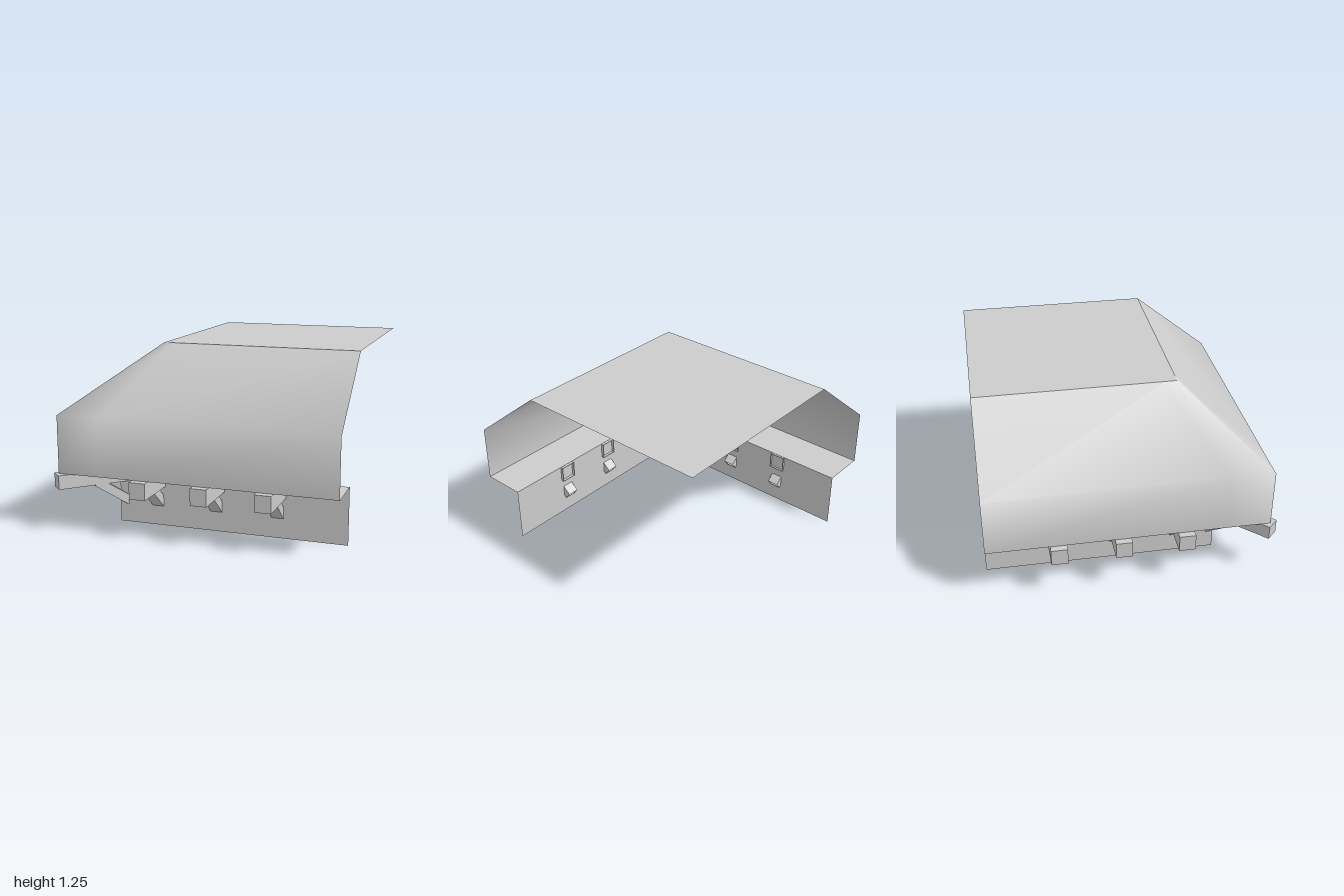
import * as THREE from 'three';

const grey = (flatShading) =>
  new THREE.MeshStandardMaterial({ color: 0xcccccc, side: THREE.DoubleSide, flatShading });
const RIGHT = 0.992, BACK = -1;

// Sheet that runs along the front, turns the corner and runs to the back.
// Each level is [corner x, y, corner z, length of the softened corner].
function cornerSheet(name, levels, smooth) {
  const pos = [], index = [];
  const cols = smooth ? 5 : 3;
  for (const [x, y, z, soft] of levels) {
    pos.push(RIGHT, y, z);
    if (smooth) pos.push(x + soft, y, z);
    pos.push(x, y, z);
    if (smooth) pos.push(x, y, z - soft);
    pos.push(x, y, BACK);
  }
  for (let i = 0; i < levels.length - 1; i++)
    for (let j = 0; j < cols - 1; j++) {
      const a = i * cols + j, b = a + cols;
      index.push(a, b, a + 1, b, b + 1, a + 1);
    }
  const geo = new THREE.BufferGeometry();
  geo.setAttribute('position', new THREE.Float32BufferAttribute(pos, 3));
  geo.setIndex(index);
  geo.computeVertexNormals();
  const mesh = new THREE.Mesh(geo, grey(!smooth));
  mesh.name = name;
  return mesh;
}

// Box running along +z with its inner (-z) end left open
function openBox(name, width, height, length) {
  const geo = new THREE.BoxGeometry(width, height, length);
  geo.setIndex(Array.from(geo.index.array).slice(0, 30));
  geo.translate(0, 0, length / 2);
  const mesh = new THREE.Mesh(geo, grey(true));
  mesh.name = name;
  return mesh;
}

// Beam end with a slanted brace below; local +z points out of the wall
function bracket(name, { width, bottom, inner, outer, brace }) {
  const group = new THREE.Group();
  group.name = name;
  const beam = openBox('beam', width, 0.398 - bottom, outer - inner);
  beam.position.set(0, (0.398 + bottom) / 2, inner);
  const strut = openBox('brace', 0.083, 0.061, brace.length);
  strut.position.set(0, brace.y, brace.z);
  strut.rotation.x = -brace.angle;
  group.add(beam, strut);
  return group;
}

export function createModel() {
  const model = new THREE.Group();
  model.name = 'jettiedCorner';

  // Lower wall, overhang underside and sloping upper shell
  model.add(cornerSheet('lowerWall', [[-0.64, 0, 0.627], [-0.64, 0.4, 0.627]], false));
  model.add(cornerSheet('overhangUnderside', [[-0.64, 0.4, 0.627], [-0.952, 0.4, 0.935]], false));
  model.add(cornerSheet('upperShell', [
    [-0.952, 0.4, 0.935, 0.3],
    [-0.95, 0.805, 0.935, 0.3],
    [-0.392, 1.252, 0.382, 0.08],
  ], true));

  // Flat top
  const top = new THREE.Mesh(new THREE.PlaneGeometry(RIGHT + 0.392, 0.382 - BACK), grey(true));
  top.name = 'flatTop';
  top.rotation.x = -Math.PI / 2;
  top.position.set((RIGHT - 0.392) / 2, 1.252, (0.382 + BACK) / 2);
  model.add(top);

  // Brackets along both walls
  const straight = {
    width: 0.113, bottom: 0.282, inner: -0.022, outer: 0.352,
    brace: { y: 0.145, z: -0.039, length: 0.25, angle: 0.705 },
  };
  for (const d of [-0.354, 0.077, 0.51]) {
    const front = bracket('frontBracket', straight);
    front.position.set(d, 0, 0.627);
    const side = bracket('sideBracket', straight);
    side.position.set(-0.645, 0, -d - 0.005);
    side.rotation.y = -Math.PI / 2;
    model.add(front, side);
  }

  // Diagonal bracket at the corner
  const corner = bracket('cornerBracket', {
    width: 0.1, bottom: 0.3, inner: -0.078, outer: 0.459,
    brace: { y: 0.152, z: -0.055, length: 0.29, angle: 0.6 },
  });
  corner.position.set(-0.636, 0, 0.627);
  corner.rotation.y = -Math.PI / 4;
  model.add(corner);

  return model;
}
